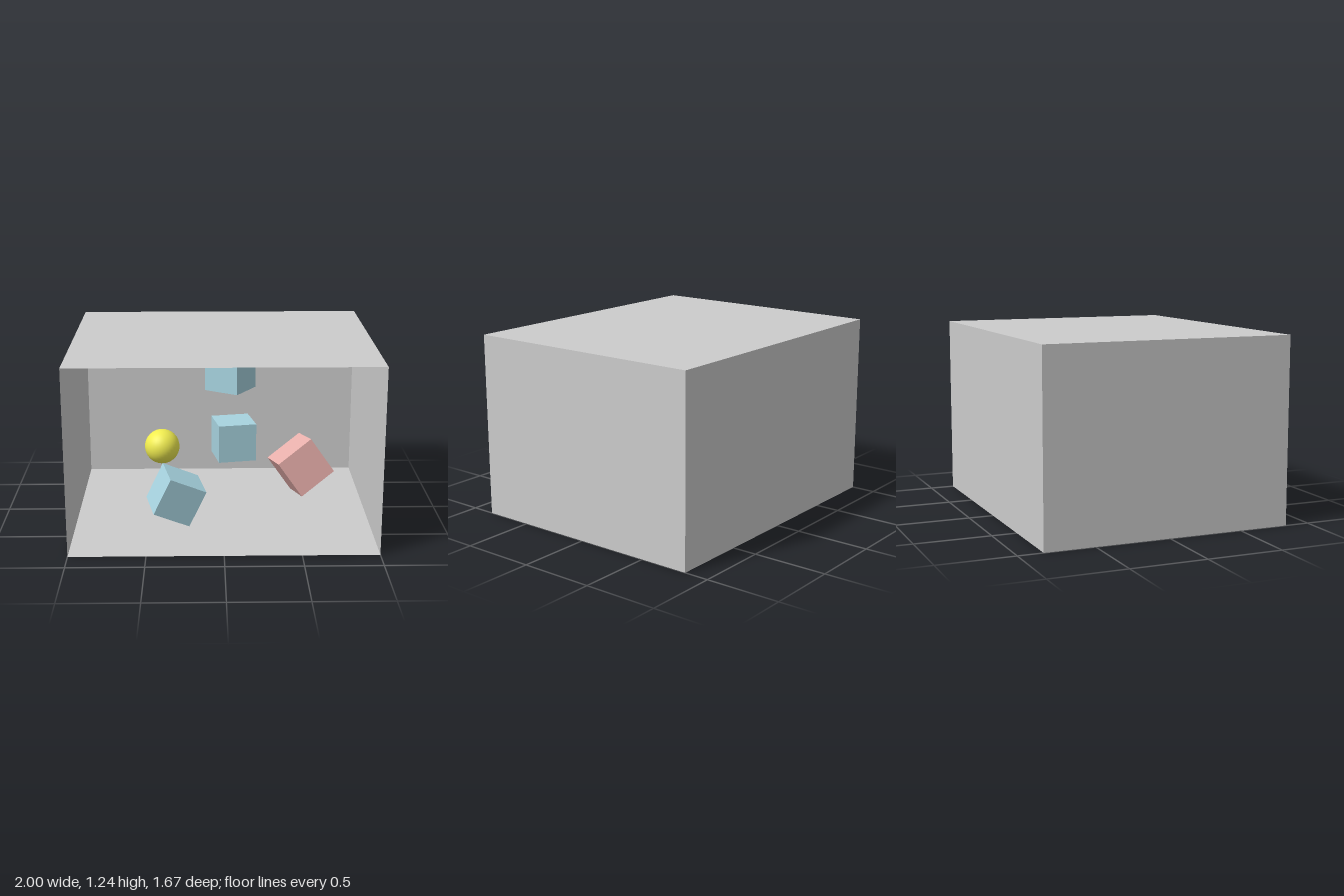
import * as THREE from 'three';

const W = 2, H = 1.24, D = 1.67;
const CUBE = 0.265;
const deg = THREE.MathUtils.degToRad;

export function createModel() {
  const model = new THREE.Group();
  model.name = 'roomWithFloatingShapes';

  const wallMat = new THREE.MeshStandardMaterial({ color: 0xcccccc, side: THREE.DoubleSide });
  const blue = new THREE.MeshStandardMaterial({ color: 0xa7d3df });
  const pink = new THREE.MeshStandardMaterial({ color: 0xe9b0ac });
  const yellow = new THREE.MeshStandardMaterial({ color: 0xf0ec50 });

  // Thin-walled room, open at the front
  const room = new THREE.Group();
  room.name = 'room';
  const addWall = (name, w, h, position, rx, ry) => {
    const wall = new THREE.Mesh(new THREE.PlaneGeometry(w, h), wallMat);
    wall.name = name;
    wall.position.set(...position);
    wall.rotation.set(rx, ry, 0);
    room.add(wall);
  };
  const q = Math.PI / 2;
  addWall('floor', W, D, [0, 0, 0], -q, 0);
  addWall('ceiling', W, D, [0, H, 0], q, 0);
  addWall('backWall', W, H, [0, H / 2, -D / 2], 0, 0);
  addWall('leftWall', D, H, [W / 2, H / 2, 0], 0, -q);
  addWall('rightWall', D, H, [-W / 2, H / 2, 0], 0, q);
  model.add(room);

  // Floating cubes: turned about y, then tilted about z
  const cubeGeo = new THREE.BoxGeometry(CUBE, CUBE, CUBE);
  const addCube = (name, material, position, turn, tilt) => {
    const cube = new THREE.Mesh(cubeGeo, material);
    cube.name = name;
    cube.position.set(...position);
    cube.rotation.set(0, deg(turn), deg(tilt), 'ZYX');
    model.add(cube);
  };
  addCube('upperCube', blue, [0.066, 0.913, -0.35], -32, 0);
  addCube('middleCube', blue, [0.084, 0.475, -0.14], 11, 0);
  addCube('lowerCube', blue, [-0.313, 0.27, 0.44], 14, -25.5);
  addCube('pinkCube', pink, [0.5, 0.516, 0.546], 15, 35);

  // Ball near the back
  const ball = new THREE.Mesh(new THREE.SphereGeometry(0.128, 32, 24), yellow);
  ball.name = 'ball';
  ball.position.set(-0.435, 0.295, -0.505);
  model.add(ball);

  return model;
}
